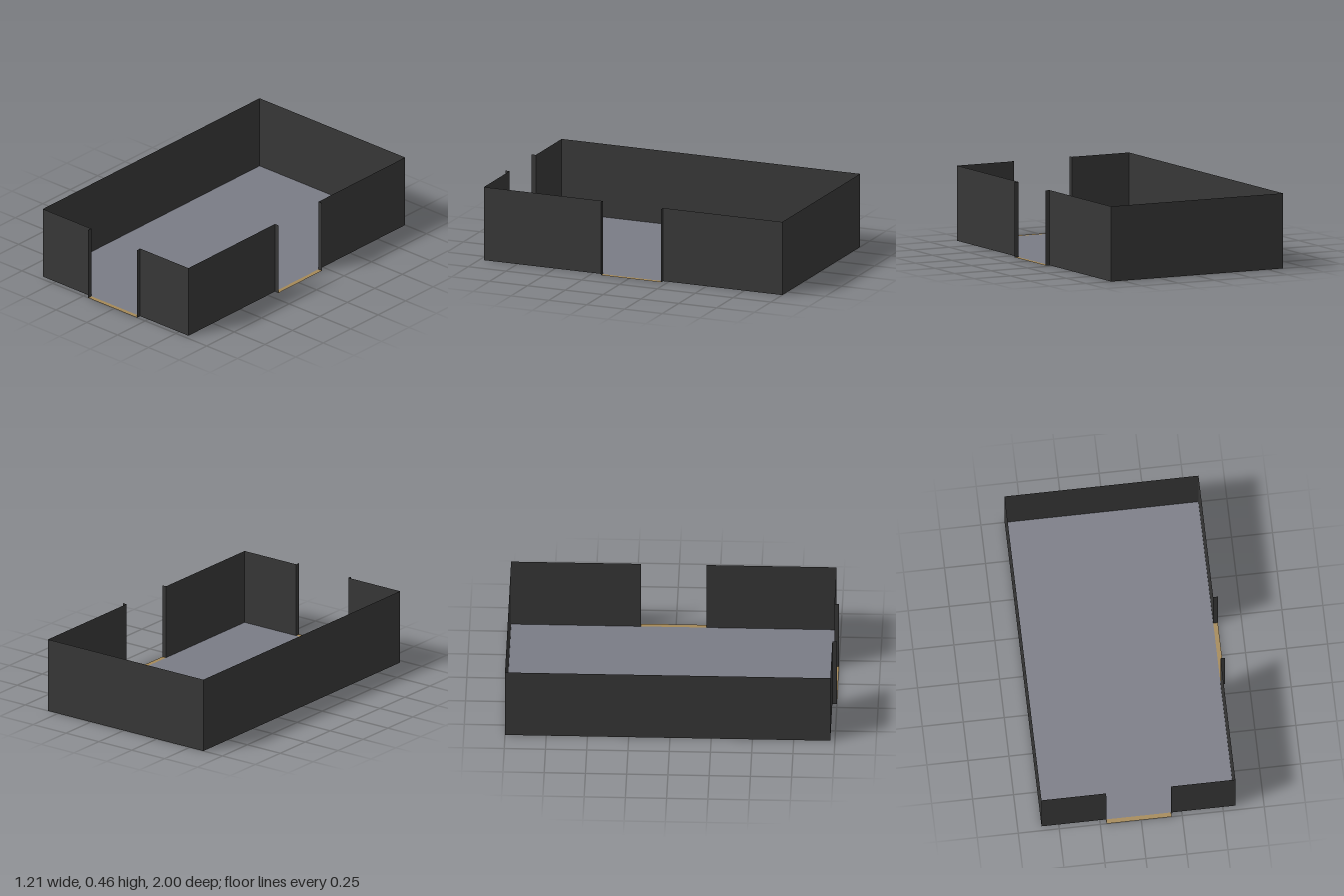
import * as THREE from 'three';

const H = 0.46;                                  // wall height
const X0 = -0.605, X1 = 0.577, Z0 = -1, Z1 = 0.972; // room outline
const D0 = -0.212, D1 = 0.185;                   // doorway limits
const REVEAL = 0.028;                            // doorway depth

export function createModel() {
  const make = (name, color) => {
    const m = new THREE.MeshStandardMaterial({ color, side: THREE.DoubleSide });
    m.name = name;
    return m;
  };
  const wallMat = make('charcoal wall', 0x373737);
  const floorMat = make('grey floor', 0x797b85);
  const sillMat = make('wooden threshold', 0xa48857);

  const model = new THREE.Group();
  model.name = 'room';

  // Upright sheet between two floor points
  const panel = (parent, name, xa, za, xb, zb) => {
    const mesh = new THREE.Mesh(new THREE.PlaneGeometry(Math.hypot(xb - xa, zb - za), H), wallMat);
    mesh.position.set((xa + xb) / 2, H / 2, (za + zb) / 2);
    mesh.rotation.y = -Math.atan2(zb - za, xb - xa);
    mesh.name = name;
    parent.add(mesh);
  };

  // Flat sheet lying on the ground
  const slab = (parent, name, mat, xa, za, xb, zb) => {
    const mesh = new THREE.Mesh(new THREE.PlaneGeometry(xb - xa, zb - za), mat);
    mesh.rotation.x = -Math.PI / 2;
    mesh.position.set((xa + xb) / 2, 0, (za + zb) / 2);
    mesh.name = name;
    parent.add(mesh);
  };

  slab(model, 'floor', floorMat, X0, Z0, X1, Z1);

  // Solid walls
  panel(model, 'backWall', X1, Z0, X0, Z0);
  panel(model, 'rightWall', X0, Z0, X0, Z1);

  // Front wall with doorway
  const front = new THREE.Group();
  front.name = 'frontWall';
  panel(front, 'frontWallRight', X0, Z1, D0, Z1);
  panel(front, 'frontWallLeft', D1, Z1, X1, Z1);
  for (const x of [D0, D1]) panel(front, 'frontDoorJamb', x, Z1, x, Z1 + REVEAL);
  slab(front, 'frontThreshold', sillMat, D0, Z1, D1, Z1 + REVEAL);
  model.add(front);

  // Left wall with doorway
  const side = new THREE.Group();
  side.name = 'leftWall';
  panel(side, 'leftWallFront', X1, Z1, X1, D1);
  panel(side, 'leftWallBack', X1, D0, X1, Z0);
  for (const z of [D0, D1]) panel(side, 'sideDoorJamb', X1, z, X1 + REVEAL, z);
  slab(side, 'sideThreshold', sillMat, X1, D0, X1 + REVEAL, D1);
  model.add(side);

  return model;
}
